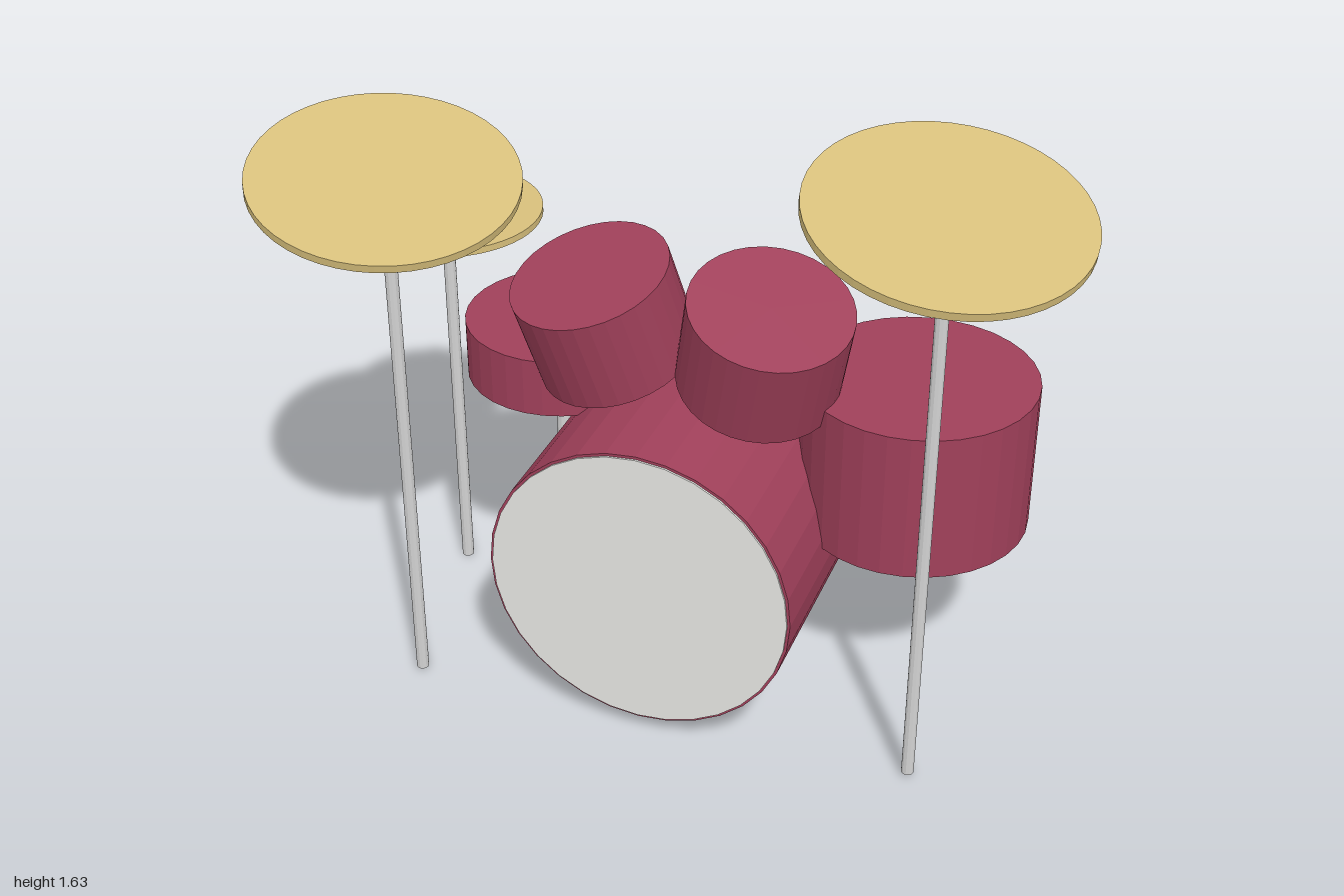
import * as THREE from 'three';

const material = (name, color) => {
  const m = new THREE.MeshStandardMaterial({ color, flatShading: true });
  m.name = name;
  return m;
};

export function createModel() {
  const kit = new THREE.Group();
  kit.name = 'drumKit';

  const shell = material('burgundy shell', 0xa0405a);
  const brass = material('brass', 0xd8c07c);
  const skin = material('drum skin', 0xe8e8e4);
  const metal = material('stand metal', 0xd2d2d2);

  // Cylinder centred at a position, tilted by rx and rz
  const cylinder = (name, mat, r, height, [x, y, z], rx = 0, rz = 0, sides = 32) => {
    const mesh = new THREE.Mesh(new THREE.CylinderGeometry(r, r, height, sides), mat);
    mesh.name = name;
    mesh.position.set(x, y, z);
    mesh.rotation.set(rx, 0, rz);
    kit.add(mesh);
    return mesh;
  };

  // Upright stand pole between two heights
  const stand = (name, x, z, y0, y1, r = 0.016) =>
    cylinder(name, metal, r, y1 - y0, [x, (y0 + y1) / 2, z], 0, 0, 12);

  // Bass drum lying along z, with a skin on each end
  cylinder('bassDrum', shell, 0.395, 0.52, [-0.005, 0.443, 0], Math.PI / 2);
  for (const [name, side] of [['bassSkinFront', 1], ['bassSkinBack', -1]]) {
    cylinder(name, skin, 0.388, 0.008, [-0.005, 0.443, side * 0.261], Math.PI / 2);
  }

  // Pair of rack toms leaning forwards and outwards
  for (const [name, side] of [['rackTomLeft', 1], ['rackTomRight', -1]]) {
    cylinder(name, shell, 0.204, 0.253, [side * 0.208 - 0.005, 1.015, -0.058], 0.25, -side * 0.2);
  }

  // Floor tom
  cylinder('floorTom', shell, 0.295, 0.395, [0.545, 0.694, -0.25]);

  // Snare drum on its stand
  cylinder('snareDrum', shell, 0.25, 0.156, [-0.405, 0.808, -0.23]);
  stand('snareStand', -0.408, -0.228, 0, 0.74, 0.019);

  // Flat hi-hat on its stand
  cylinder('hiHat', brass, 0.25, 0.018, [-0.75, 1.096, -0.288], 0, 0, 48);
  stand('hiHatStand', -0.75, -0.285, 0, 1.09);

  // Two tilted cymbals on tall stands
  for (const [name, x, y, z] of [
    ['rightCymbal', -0.635, 1.438, 0.23],
    ['leftCymbal', 0.682, 1.553, 0.174],
  ]) {
    cylinder(name, brass, 0.32, 0.02, [x, y, z], 0.175, -0.145, 48);
    stand(name + 'Stand', x, z, 0.01, y - 0.005);
  }

  return kit;
}
